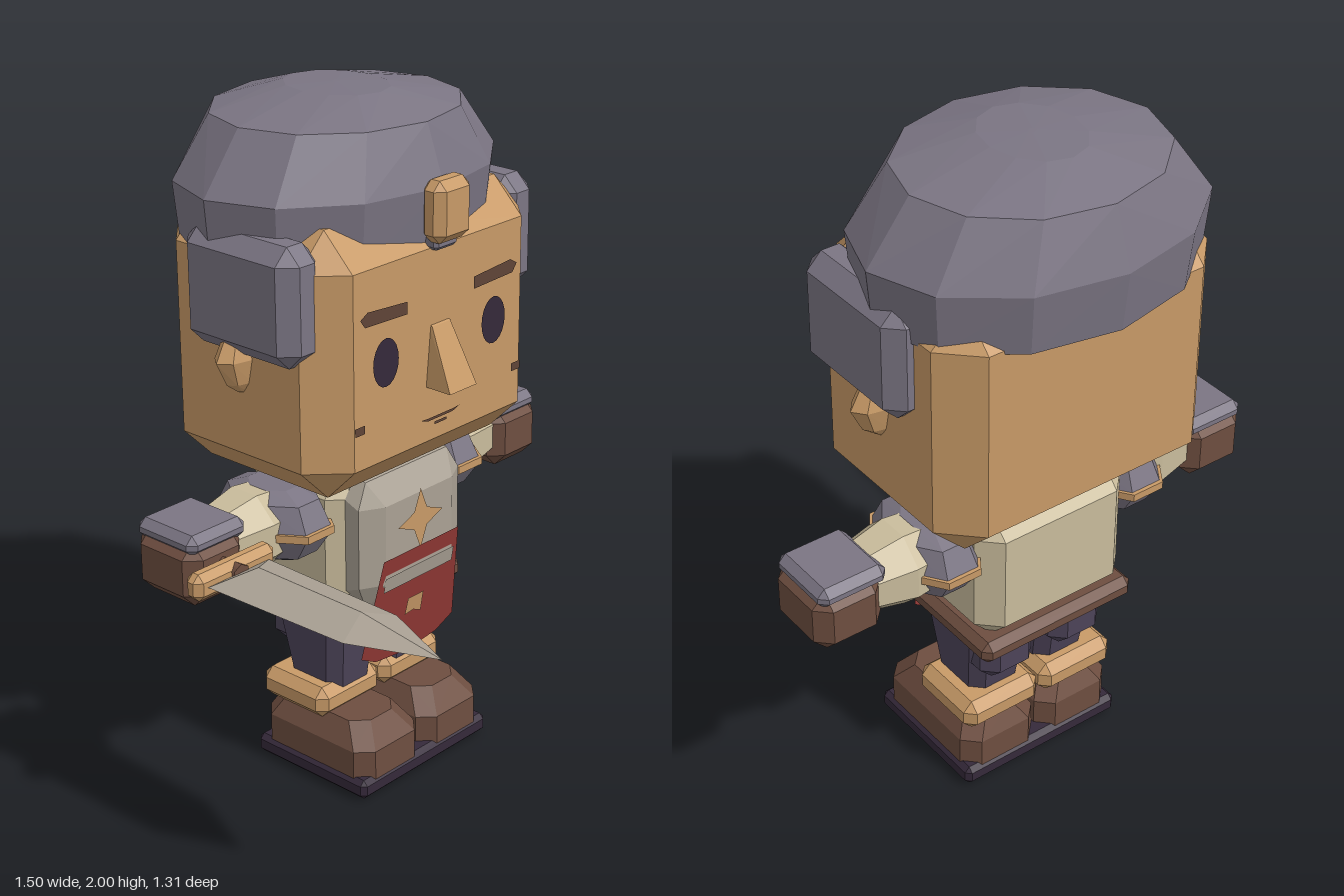
import * as THREE from 'three';
import { ConvexGeometry } from 'three/addons/geometries/ConvexGeometry.js';

const paint = (color) => Object.assign(new THREE.MeshStandardMaterial({ color }));
const V = (x, y, z) => new THREE.Vector3(x, y, z);

// Bevelled box given by its min/max on each axis and the bevel width
function bevelBox([x0, x1], [y0, y1], [z0, z1], c) {
  const pts = [];
  for (const i of [0, 1]) for (const j of [0, 1]) for (const k of [0, 1]) {
    const x = i ? x1 : x0, y = j ? y1 : y0, z = k ? z1 : z0;
    const dx = i ? -c : c, dy = j ? -c : c, dz = k ? -c : c;
    pts.push(V(x, y + dy, z + dz), V(x + dx, y, z + dz), V(x + dx, y + dy, z));
  }
  return new ConvexGeometry(pts);
}

// Convex solid through stacked ellipses, each [rx, rz, y]
function rings(list, n, phase = 0) {
  const pts = [];
  for (const [rx, rz, y] of list) for (let i = 0; i < n; i++) {
    const a = phase + (i / n) * Math.PI * 2;
    pts.push(V(Math.cos(a) * rx, y, Math.sin(a) * rz));
  }
  return new ConvexGeometry(pts);
}

// Flat outline facing +z
const flat = (pts) => new THREE.ShapeGeometry(new THREE.Shape(pts.map(([x, y]) => new THREE.Vector2(x, y))));
const rect = (x, y, w, h) => flat([[x - w / 2, y - h / 2], [x + w / 2, y - h / 2], [x + w / 2, y + h / 2], [x - w / 2, y + h / 2]]);

export function createModel() {
  const mat = {
    tan: paint(0xc89a67), steel: paint(0x7b7583), leather: paint(0x6e4e40),
    cloth: paint(0xc9bc9c), plate: paint(0xaaa194), red: paint(0x933936),
    trousers: paint(0x4d4459), dark: paint(0x35293a), hair: paint(0x5f4437), sole: paint(0x382c22),
  };
  for (const [name, m] of Object.entries(mat)) m.name = name;
  mat.red.side = THREE.DoubleSide;

  const model = new THREE.Group();
  model.name = 'knight';
  const body = new THREE.Group();
  body.name = 'body';
  body.position.x = 0.02;
  model.add(body);
  const add = (name, geo, m, x = 0, y = 0, z = 0) => {
    const mesh = new THREE.Mesh(geo, m);
    mesh.name = name;
    mesh.position.set(x, y, z);
    body.add(mesh);
    return mesh;
  };

  // Head and nose
  add('head', bevelBox([-0.44, 0.44], [0.97, 1.72], [-0.55, 0.1], 0.1), mat.tan);
  add('nose', new ConvexGeometry([
    V(-0.037, 1.41, 0.09), V(0.037, 1.41, 0.09), V(-0.037, 1.4, 0.105), V(0.037, 1.4, 0.105),
    V(-0.055, 1.23, 0.09), V(0.055, 1.23, 0.09), V(-0.055, 1.23, 0.185), V(0.055, 1.23, 0.185),
  ]), mat.tan);

  // Helmet dome and brow badge
  add('helmet', rings([[0.01, 0.01, 2], [0.13, 0.16, 1.995], [0.37, 0.325, 1.945], [0.5, 0.384, 1.78], [0.485, 0.365, 1.61]], 12),
    mat.steel, 0, 0, -0.272);
  add('helmetBadge', bevelBox([-0.07, 0.07], [1.64, 1.81], [0.08, 0.16], 0.025), mat.tan);
  add('badgeBase', bevelBox([-0.045, 0.045], [1.615, 1.68], [0.07, 0.125], 0.01), mat.steel);

  // Painted face
  for (const s of [-1, 1]) {
    const eye = add('eye', new THREE.CircleGeometry(0.5, 20), mat.dark, s * 0.22, 1.35, 0.104);
    eye.scale.set(0.1, 0.137, 1);
    const brow = [[0.135, 1.462], [0.3, 1.468], [0.318, 1.492], [0.29, 1.508], [0.135, 1.497]]
      .map(([x, y]) => [s * x, y]);
    add('eyebrow', flat(brow), mat.hair, 0, 0, 0.104);
    add('cheekMark', rect(s * 0.322, 1.185, 0.038, 0.024), mat.hair, 0, 0, 0.104);
  }
  add('mouth', flat([[-0.08, 1.14], [-0.05, 1.13], [0.05, 1.13], [0.08, 1.14], [0.05, 1.138], [-0.05, 1.138]]), mat.hair, 0, 0, 0.104);
  add('lowerLip', rect(0, 1.118, 0.05, 0.008), mat.hair, 0, 0, 0.104);

  // Neck, tunic, breastplate and belt
  add('neck', bevelBox([-0.18, 0.18], [0.88, 1.0], [-0.33, -0.1], 0.02), mat.cloth);
  add('tunic', bevelBox([-0.25, 0.25], [0.55, 0.96], [-0.43, -0.04], 0.06), mat.cloth);
  add('breastplate', new ConvexGeometry([-1, 1].flatMap((s) => [
    V(s * 0.17, 0.96, -0.06), V(s * 0.21, 0.9, -0.06), V(s * 0.21, 0.62, -0.06), V(s * 0.16, 0.54, -0.06),
    V(s * 0.17, 0.95, -0.02), V(s * 0.21, 0.88, -0.01), V(s * 0.21, 0.64, -0.01), V(s * 0.16, 0.55, -0.03),
    V(s * 0.14, 0.88, 0.028), V(s * 0.14, 0.64, 0.028),
  ])), mat.plate);
  add('belt', bevelBox([-0.26, 0.26], [0.5, 0.57], [-0.44, -0.03], 0.022), mat.leather);

  // Four-pointed ornament on the chest
  const star = [];
  for (let i = 0; i < 8; i++) {
    const r = i % 2 ? 0.038 : 0.093, a = (i * Math.PI) / 4;
    star.push([Math.cos(a) * r, Math.sin(a) * r]);
  }
  add('chestStar', flat(star), mat.tan, 0, 0.8, 0.033);

  // Hanging apron with a strip and a buckle, leaning back towards the legs
  const apron = new THREE.Group();
  apron.name = 'apron';
  apron.position.set(0, 0.72, 0.037);
  apron.rotation.x = 0.17;
  body.add(apron);
  const hang = (name, geo, m, z) => apron.add(Object.assign(add(name, geo, m, 0, 0, z)));
  hang('apronCloth', flat([[-0.158, 0], [-0.197, -0.315], [-0.13, -0.352], [0, -0.368], [0.13, -0.352], [0.197, -0.315], [0.158, 0]]), mat.red, 0);
  hang('apronStrip', rect(0, -0.083, 0.29, 0.048), mat.plate, 0.005);
  hang('apronBuckle', flat([[-0.035, -0.225], [0, -0.22], [0.035, -0.235], [0.035, -0.17], [-0.03, -0.17]]), mat.tan, 0.005);

  // Hips and shared sole
  add('hips', bevelBox([-0.21, 0.21], [0.42, 0.53], [-0.38, -0.09], 0.04), mat.trousers);
  add('sole', bevelBox([-0.272, 0.272], [0.005, 0.065], [-0.372, 0.06], 0.015), mat.dark);

  for (const s of [-1, 1]) {
    const span = (a, b) => (s > 0 ? [a, b] : [-b, -a]);

    // Side of the helmet and ear
    add('cheekGuard', bevelBox(span(0.36, 0.505), [1.37, 1.7], [-0.38, 0.03], 0.045), mat.steel);
    add('ear', rings([[0.02, 0.015, 1.25], [0.06, 0.035, 1.28], [0.095, 0.05, 1.35], [0.05, 0.03, 1.43]], 8), mat.tan, s * 0.43, 0, -0.22);

    // Arm: shoulder guard, sleeve, forearm, glove
    add('shoulderGuard', rings([[0.06, 0.08, 0.94], [0.105, 0.15, 0.915], [0.13, 0.19, 0.84], [0.13, 0.19, 0.825], [0.1, 0.14, 0.755], [0.06, 0.08, 0.73]], 8, Math.PI / 8),
      mat.steel, s * 0.315, 0, -0.235);
    add('shoulderTrim', rings([[0.135, 0.2, 0.845], [0.135, 0.2, 0.822]], 8, Math.PI / 8), mat.tan, s * 0.315, 0, -0.235);
    const sleeve = add('sleeve', rings([[0.1, 0.1, 0.2], [0.123, 0.125, 0.42], [0.098, 0.1, 0.535]], 8, Math.PI / 8), mat.cloth, 0, 0.83, -0.24);
    const forearm = add('forearm', rings([[0.09, 0.09, 0.45], [0.08, 0.08, 0.62]], 8, Math.PI / 8), mat.tan, 0, 0.825, -0.24);
    sleeve.rotation.z = forearm.rotation.z = -s * Math.PI / 2;
    add('glove', bevelBox(span(0.52, 0.73), [0.725, 0.91], [-0.36, -0.12], 0.04), mat.leather);
    add('glovePlate', bevelBox(span(0.51, 0.72), [0.875, 0.935], [-0.355, -0.13], 0.022), mat.steel);

    // Leg, knee fold, boot cuff and boot
    add('leg', new ConvexGeometry([[0.5, 0.015, 0.225, -0.35, -0.09], [0.26, 0.03, 0.2, -0.31, -0.12]].flatMap(([y, x0, x1, z0, z1]) => {
      const c = 0.035;
      return [[x0 + c, z0], [x1 - c, z0], [x1, z0 + c], [x1, z1 - c], [x1 - c, z1], [x0 + c, z1], [x0, z1 - c], [x0, z0 + c]]
        .map(([x, z]) => V(s * x, y, z));
    })), mat.trousers);
    add('trouserFold', bevelBox(span(0.03, 0.21), [0.36, 0.5], [-0.385, -0.25], 0.04), mat.trousers);
    add('bootCuff', bevelBox(span(0.004, 0.262), [0.195, 0.29], [-0.365, -0.11], 0.028), mat.tan);
    add('boot', new ConvexGeometry([
      [0.055, 0.005, 0.262, -0.365, 0.055], [0.145, 0.005, 0.262, -0.365, 0.055], [0.212, 0.045, 0.222, -0.33, 0.0],
    ].flatMap(([y, x0, x1, z0, z1]) => {
      const c = 0.045;
      return [[x0 + c, z0], [x1 - c, z0], [x1, z0 + c], [x1, z1 - c], [x1 - c, z1], [x0 + c, z1], [x0, z1 - c], [x0, z0 + c]]
        .map(([x, z]) => V(s * x, y, z));
    })), mat.leather);
    add('tread', new THREE.BoxGeometry(0.2, 0.006, 0.34), mat.sole, s * 0.135, 0.003, -0.156);
  }

  // Sword held in the right hand, pointing forward
  const cx = -0.62, cy = 0.828;
  add('swordGuard', bevelBox([cx - 0.147, cx + 0.147], [cy - 0.042, cy + 0.036], [-0.12, -0.06], 0.02), mat.tan);
  const grip = add('swordGrip', new THREE.CylinderGeometry(0.03, 0.03, 0.3, 6), mat.leather, cx, cy, -0.2);
  grip.rotation.x = Math.PI / 2;
  add('swordBlade', new ConvexGeometry([
    V(cx - 0.112, cy, -0.06), V(cx + 0.112, cy, -0.06), V(cx, cy + 0.042, 0.015), V(cx, cy - 0.042, 0.015),
    V(cx - 0.1, cy, 0.41), V(cx + 0.1, cy, 0.41), V(cx, cy + 0.038, 0.38), V(cx, cy - 0.038, 0.38),
    V(cx, cy, 0.65),
  ]), mat.plate);

  return model;
}
